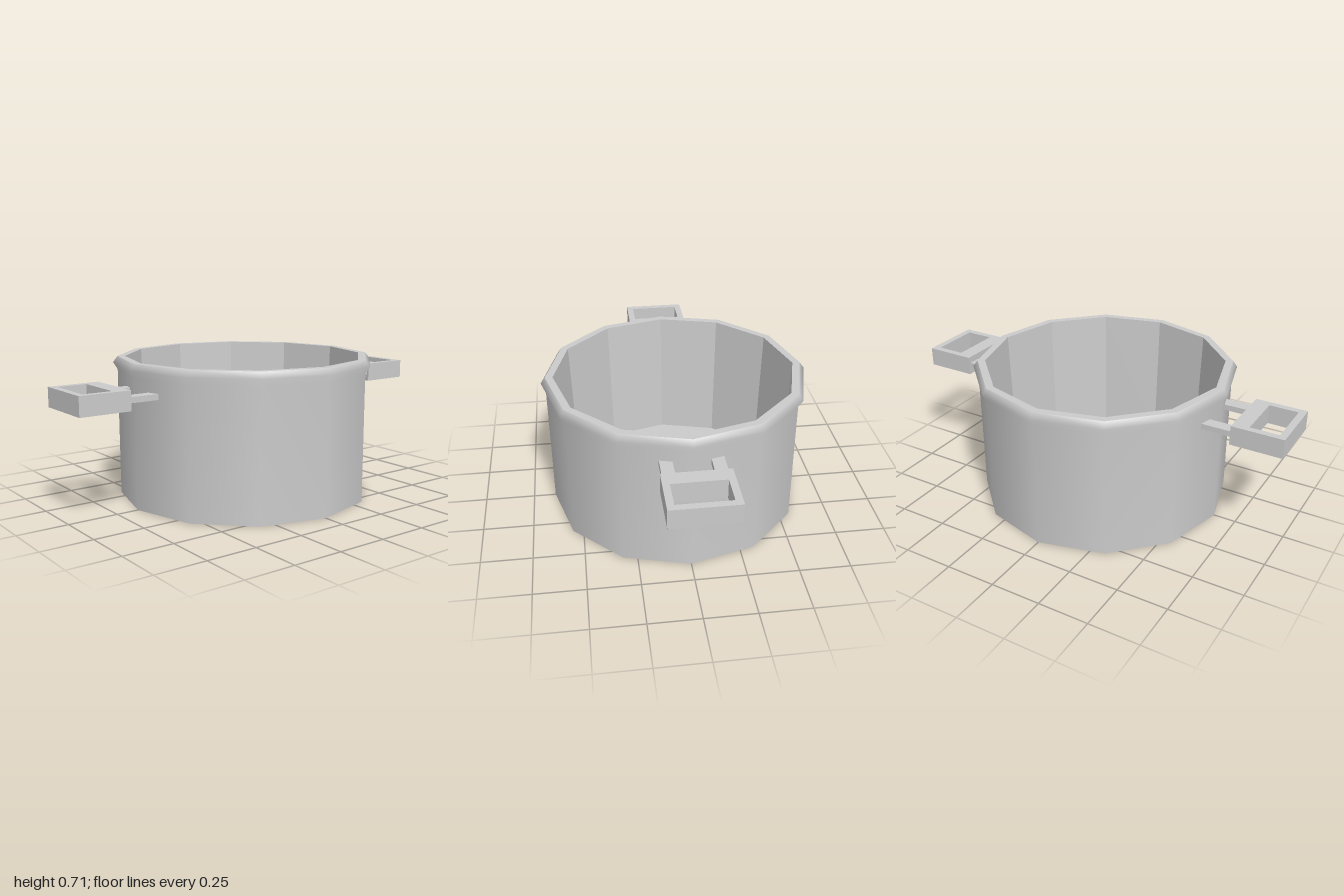
import * as THREE from 'three';

const SIDES = 12;

function lathe(name, profile, material) {
  const points = profile.map(([r, y]) => new THREE.Vector2(r, y));
  const mesh = new THREE.Mesh(new THREE.LatheGeometry(points, SIDES), material);
  mesh.name = name;
  return mesh;
}

function rectangle(PathType, x0, x1, z) {
  return new PathType([[x0, -z], [x1, -z], [x1, z], [x0, z]].map(([x, y]) => new THREE.Vector2(x, y)));
}

// Square grip with a hole, joined to the wall by two prongs
function createHandle(material) {
  const handle = new THREE.Group();

  const shape = rectangle(THREE.Shape, 0.745, 1, 0.158);
  shape.holes.push(rectangle(THREE.Path, 0.823, 0.966, 0.125));
  const gripGeometry = new THREE.ExtrudeGeometry(shape, { depth: 0.095, bevelEnabled: false });
  gripGeometry.rotateX(-Math.PI / 2);
  const grip = new THREE.Mesh(gripGeometry, material);
  grip.name = 'grip';
  grip.position.y = 0.521;
  handle.add(grip);

  for (const side of [-1, 1]) {
    const prong = new THREE.Mesh(new THREE.BoxGeometry(0.15, 0.028, 0.06), material);
    prong.name = 'prong';
    prong.position.set(0.672, 0.569, side * 0.117);
    handle.add(prong);
  }
  return handle;
}

export function createModel() {
  const pot = new THREE.Group();
  pot.name = 'cookingPot';
  const smooth = new THREE.MeshStandardMaterial({ color: 0xcccccc });
  const flat = new THREE.MeshStandardMaterial({ color: 0xcccccc, flatShading: true });

  // Outer wall flaring into the rim
  pot.add(lathe('outerWall', [[0.638, 0], [0.638, 0.642], [0.66, 0.677], [0.638, 0.708]], smooth));
  pot.add(lathe('base', [[0, 0], [0.638, 0]], flat));

  // Flat lip, tapered inner wall and inner floor
  pot.add(lathe('lip', [[0.638, 0.708], [0.6, 0.708]], flat));
  pot.add(lathe('innerWall', [[0.6, 0.708], [0.578, 0.03]], flat));
  pot.add(lathe('innerFloor', [[0.578, 0.03], [0, 0.03]], flat));

  // One handle on each side
  for (const [name, turn] of [['leftHandle', 0], ['rightHandle', Math.PI]]) {
    const handle = createHandle(flat);
    handle.name = name;
    handle.rotation.y = turn;
    pot.add(handle);
  }
  return pot;
}
